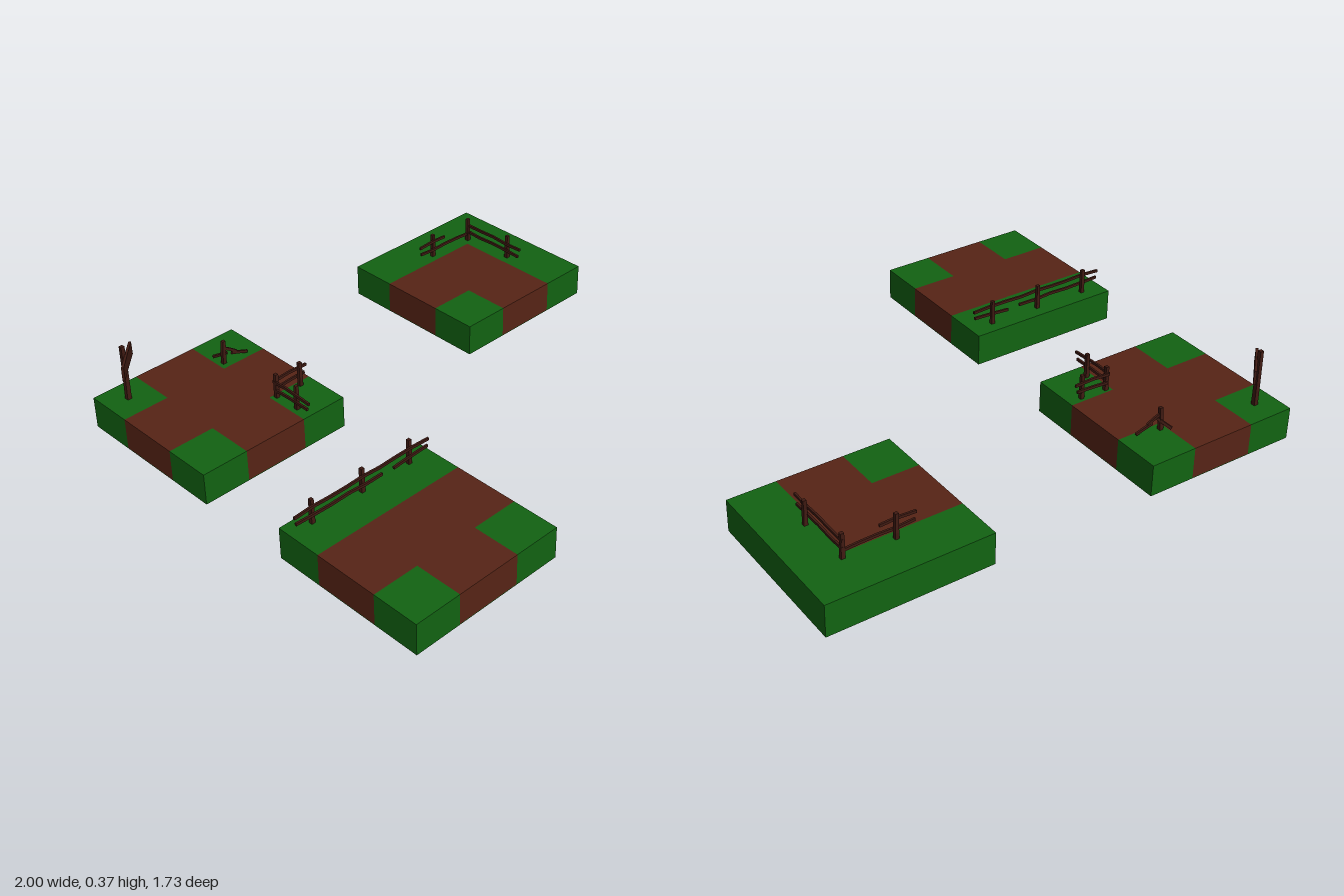
import * as THREE from 'three';

const mat = (color) => new THREE.MeshStandardMaterial({ color, flatShading: true });
const HALF = 0.33, PATH = 0.135, TOP = 0.132, PLATE = 0.003;

export function createModel() {
  const grass = mat(0x126312), dirt = mat(0x572416), wood = mat(0x3f1a12);
  const root = new THREE.Group();
  root.name = 'pathTiles';

  const add = (parent, name, geometry, material, x, y, z) => {
    const mesh = new THREE.Mesh(geometry, material);
    mesh.name = name;
    mesh.position.set(x, y, z);
    parent.add(mesh);
    return mesh;
  };

  // Square tile: rows run back to front, '#' is dirt path and '.' is grass
  const tile = (name, x, z, rows) => {
    const g = new THREE.Group();
    g.name = name;
    g.position.set(x, 0, z);
    root.add(g);
    const cuts = [-HALF, -PATH, PATH, HALF];
    add(g, 'underside', new THREE.BoxGeometry(2 * HALF, PLATE, 2 * HALF), grass, 0, PLATE / 2, 0);
    rows.forEach((row, j) => [...row].forEach((c, i) => {
      const w = cuts[i + 1] - cuts[i], d = cuts[j + 1] - cuts[j];
      add(g, c === '#' ? 'path' : 'grass', new THREE.BoxGeometry(w, TOP - PLATE, d),
        c === '#' ? dirt : grass, cuts[i] + w / 2, (TOP + PLATE) / 2, cuts[j] + d / 2);
    }));
  };
  tile('crossroadTile', -0.67, -0.535, ['.#.', '###', '.#.']);
  tile('cornerTile', 0.67, -0.535, ['...', '##.', '.#.']);
  tile('junctionTile', -0.67, 0.53, ['...', '###', '.#.']);

  // Rough upright post, slightly bent and tapered
  const post = (parent, x, z, top = 0.235, lean = 0, r = 0.008) => {
    const h = top - TOP + 0.01;
    const geo = new THREE.BoxGeometry(2 * r, h, 2 * r, 1, 3, 1);
    const p = geo.attributes.position;
    for (let i = 0; i < p.count; i++) {
      const t = p.getY(i) / h + 0.5;
      const s = 1 - 0.15 * t;
      const bend = 0.002 * Math.sin(t * 6 + x * 9);
      p.setXYZ(i, p.getX(i) * s + bend + lean * t, p.getY(i), p.getZ(i) * s - bend);
    }
    geo.computeVertexNormals();
    add(parent, 'post', geo, wood, x, TOP - 0.01 + h / 2, z);
  };

  // Rough rail between two points, with a gentle wave
  const rail = (parent, a, b, thick = 0.011) => {
    const A = new THREE.Vector3(...a), B = new THREE.Vector3(...b);
    const len = A.distanceTo(B);
    const geo = new THREE.BoxGeometry(len, thick, 0.008, Math.max(2, Math.round(len / 0.08)), 1, 1);
    const p = geo.attributes.position;
    for (let i = 0; i < p.count; i++) {
      p.setY(i, p.getY(i) + 0.0025 * Math.sin(p.getX(i) * 30 + a[1] * 40));
    }
    geo.computeVertexNormals();
    const mesh = add(parent, 'rail', geo, wood, 0, 0, 0);
    mesh.position.copy(A).add(B).multiplyScalar(0.5);
    mesh.quaternion.setFromUnitVectors(new THREE.Vector3(1, 0, 0), B.sub(A).normalize());
  };

  const fence = (name, posts, rails) => {
    const g = new THREE.Group();
    g.name = name;
    root.add(g);
    posts.forEach((p) => post(g, ...p));
    rails.forEach(([a, b]) => rail(g, a, b));
  };

  fence('straightFence', [[-0.9, 0.256], [-0.67, 0.256], [-0.445, 0.256]], [
    [[-0.985, 0.205, 0.266], [-0.36, 0.203, 0.266]],
    [[-0.98, 0.172, 0.266], [-0.585, 0.167, 0.266]],
    [[-0.53, 0.165, 0.266], [-0.365, 0.172, 0.266]],
  ]);
  fence('crossroadCornerFence', [[-0.4, -0.379], [-0.509, -0.272], [-0.513, -0.382]], [
    [[-0.52, 0.203, -0.39], [-0.36, 0.206, -0.39]],
    [[-0.515, 0.168, -0.39], [-0.37, 0.172, -0.39]],
    [[-0.519, 0.205, -0.39], [-0.519, 0.2, -0.19]],
    [[-0.519, 0.17, -0.38], [-0.519, 0.17, -0.2]],
  ]);
  fence('brokenFence', [[-0.512, -0.7, 0.23, 0.006]], [
    [[-0.53, 0.153, -0.742], [-0.498, 0.178, -0.69]],
    [[-0.51, 0.2, -0.7], [-0.455, 0.165, -0.692]],
    [[-0.475, 0.168, -0.694], [-0.405, 0.14, -0.69]],
  ]);
  fence('cornerTileFence', [[0.63, -0.705], [0.83, -0.692], [0.842, -0.472]], [
    [[0.545, 0.204, -0.696], [0.69, 0.206, -0.696]],
    [[0.55, 0.171, -0.696], [0.835, 0.165, -0.694]],
    [[0.832, 0.205, -0.7], [0.832, 0.203, -0.39]],
    [[0.832, 0.172, -0.7], [0.832, 0.17, -0.4]],
  ]);

  // Signpost with a diagonal blank board
  const sign = new THREE.Group();
  sign.name = 'signpost';
  root.add(sign);
  post(sign, -0.907, -0.772, 0.365, 0, 0.009);
  const board = new THREE.Shape([[-0.088, -0.028], [-0.03, -0.026], [0.088, -0.03],
    [0.085, 0.026], [0.01, 0.029], [-0.085, 0.027]].map(([x, y]) => new THREE.Vector2(x, y)));
  const plank = add(sign, 'board',
    new THREE.ExtrudeGeometry(board, { depth: 0.01, bevelEnabled: false }), wood, -0.902, 0.3, -0.767);
  plank.rotation.set(0, Math.PI / 4, 0.02);

  return root;
}
